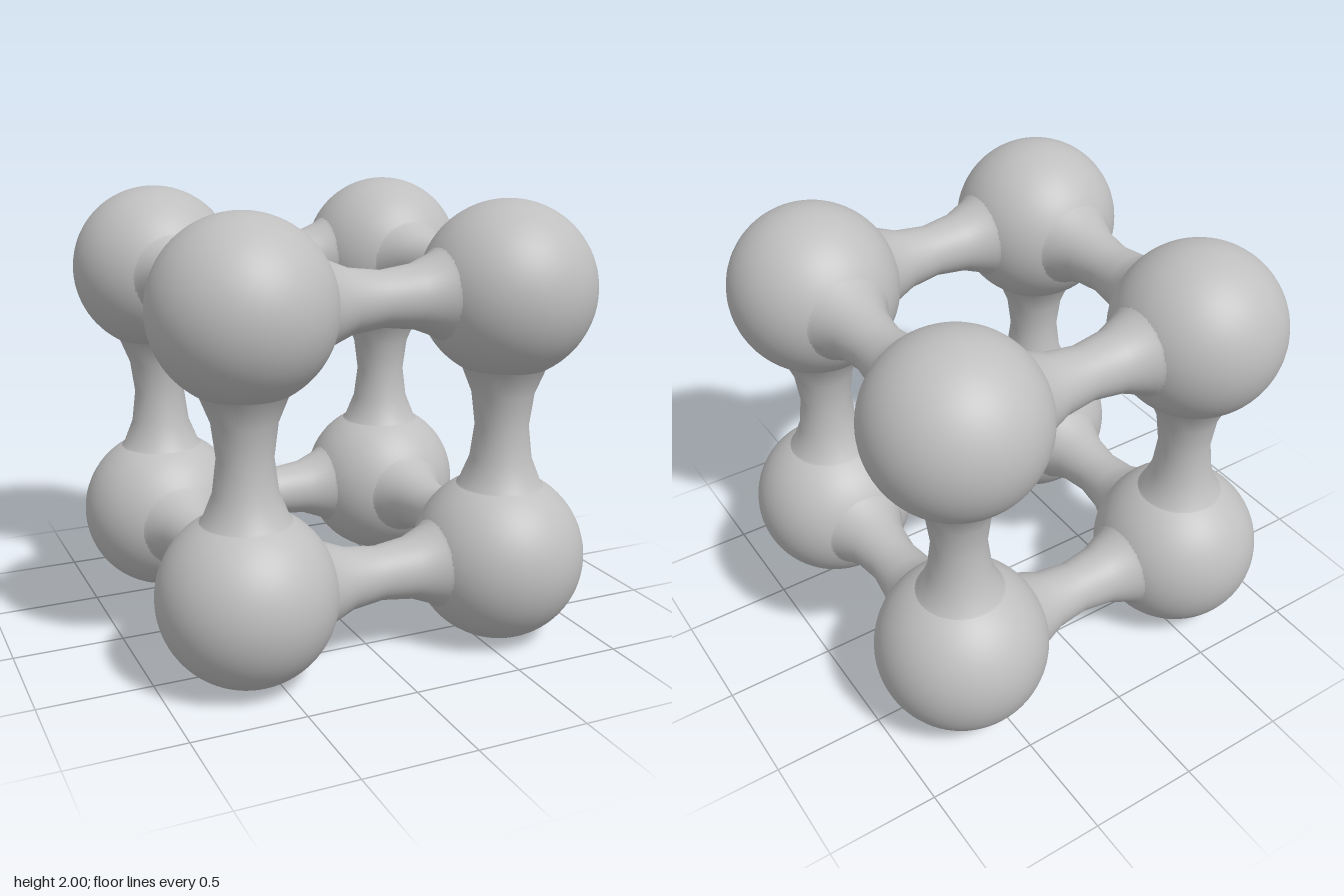
import * as THREE from 'three';

const OFFSET = 0.61; // ball centre distance from the middle on each axis
const RADIUS = 0.39;

export function createModel() {
  const group = new THREE.Group();
  group.name = 'ballLattice';
  const grey = new THREE.MeshStandardMaterial({ color: 0xbfbfbf });
  grey.name = 'light grey';

  // Balls at the eight corners
  const ballGeometry = new THREE.SphereGeometry(RADIUS, 64, 40);
  for (const x of [-1, 1]) for (const y of [-1, 1]) for (const z of [-1, 1]) {
    const ball = new THREE.Mesh(ballGeometry, grey);
    ball.name = 'cornerBall';
    ball.position.set(x * OFFSET, 1 + y * OFFSET, z * OFFSET);
    group.add(ball);
  }

  // Waisted neck, flaring into the balls at both ends
  const half = [[0.12, 0], [0.139, 0.15], [0.185, 0.265], [0.226, 0.295]];
  const profile = [
    ...half.slice(1).reverse().map(([r, h]) => new THREE.Vector2(r, -h)),
    ...half.map(([r, h]) => new THREE.Vector2(r, h)),
  ];
  const neckGeometry = new THREE.LatheGeometry(profile, 48);

  // Four necks along each axis
  for (const axis of ['x', 'y', 'z']) {
    const [u, v] = ['x', 'y', 'z'].filter((a) => a !== axis);
    for (const a of [-1, 1]) for (const b of [-1, 1]) {
      const neck = new THREE.Mesh(neckGeometry, grey);
      neck.name = axis + 'Neck';
      neck.position[u] = a * OFFSET;
      neck.position[v] = b * OFFSET;
      neck.position.y += 1;
      if (axis === 'x') neck.rotation.z = Math.PI / 2;
      if (axis === 'z') neck.rotation.x = Math.PI / 2;
      group.add(neck);
    }
  }
  return group;
}
